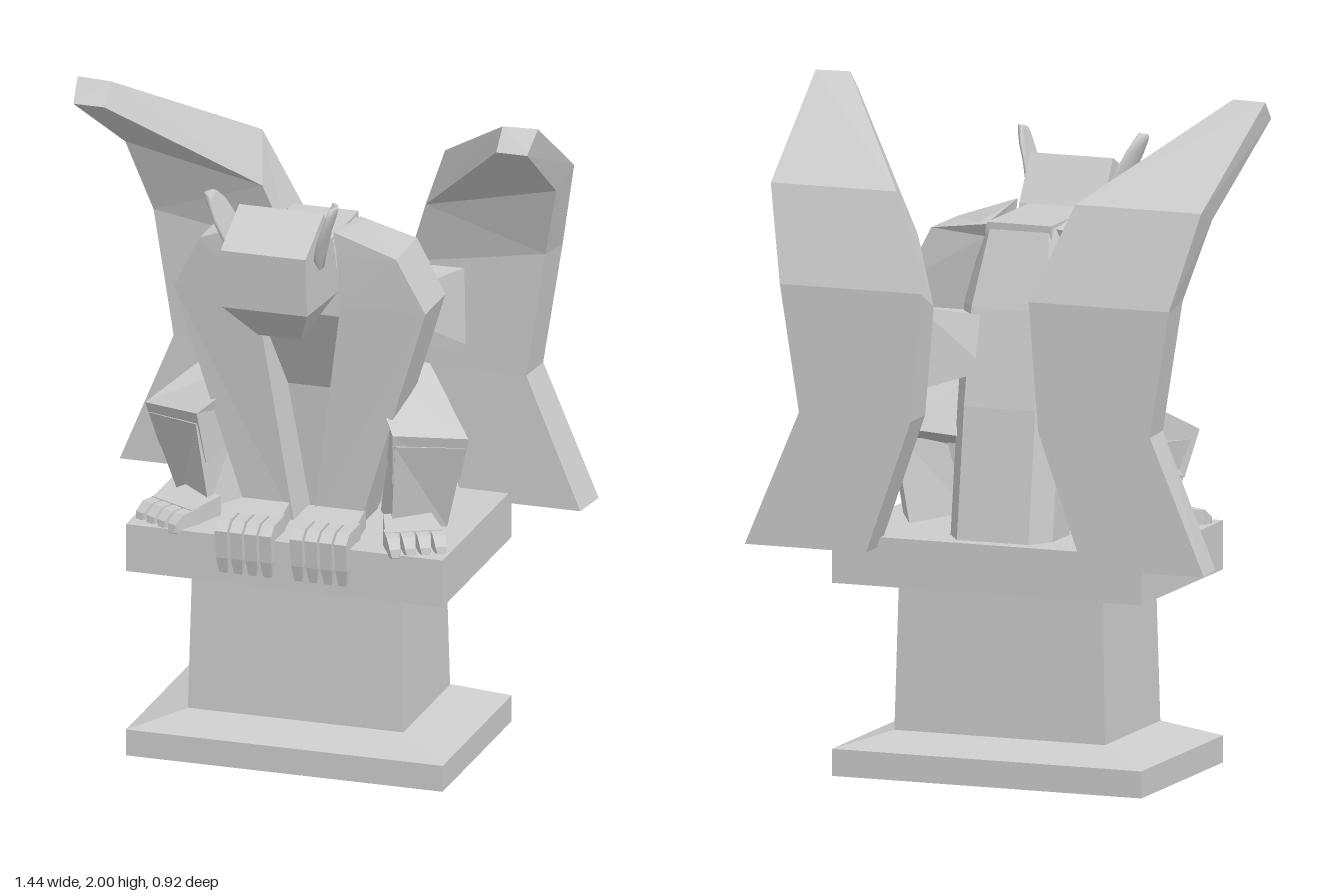
import * as THREE from 'three';
import { mergeVertices } from 'three/addons/utils/BufferGeometryUtils.js';

const flat = new THREE.MeshStandardMaterial({ color: 0xcccccc, flatShading: true });
const smoothMat = new THREE.MeshStandardMaterial({ color: 0xcccccc });

// Closed solid through rings of [x, y, z] points; side -1 mirrors it in x
function loft(name, rings, side = 1, smooth = false) {
  const tris = [];
  const n = rings[0].length;
  for (let r = 0; r < rings.length - 1; r++) {
    for (let i = 0; i < n; i++) {
      const j = (i + 1) % n;
      const a = rings[r][i], b = rings[r][j], c = rings[r + 1][j], d = rings[r + 1][i];
      tris.push([a, b, c], [a, c, d]);
    }
  }
  const first = rings[0], last = rings[rings.length - 1];
  for (let i = 1; i < n - 1; i++) {
    tris.push([first[0], first[i + 1], first[i]], [last[0], last[i], last[i + 1]]);
  }
  // Turn all faces outward, judged by the signed volume
  const pts = tris.map((t) => t.map((p) => new THREE.Vector3(p[0] * side, p[1], p[2])));
  let volume = 0;
  for (const [a, b, c] of pts) volume += a.dot(b.clone().cross(c));
  if (volume < 0) pts.forEach((t) => t.reverse());
  let geo = new THREE.BufferGeometry().setFromPoints(pts.flat());
  if (smooth) geo = mergeVertices(geo);
  geo.computeVertexNormals();
  const mesh = new THREE.Mesh(geo, smooth ? smoothMat : flat);
  mesh.name = name;
  return mesh;
}

// Level rectangle
const rect = (y, x0, x1, z0, z1) => [[x0, y, z0], [x1, y, z0], [x1, y, z1], [x0, y, z1]];

// Upright edge ring spanning x0..x1 between two [y, z] points
const span = (x0, x1, [ya, za], [yb, zb]) => [[x0, ya, za], [x1, ya, za], [x1, yb, zb], [x0, yb, zb]];

// Level ring with chamfered back corners
const bodyRing = (y, hw, back, front, hb = hw * 0.7) => [
  [-hw * 0.8, y, front], [hw * 0.8, y, front], [hw, y, front - 0.06], [hw, y, back + 0.07],
  [hb, y, back], [-hb, y, back], [-hw, y, back + 0.07], [-hw, y, front - 0.06]];

// Paw with four toes, given in its own frame, then turned and placed
function paw(name, side, at, yaw, toePath) {
  const group = new THREE.Group();
  group.name = name;
  const c = Math.cos(yaw), s = Math.sin(yaw);
  const place = (rings) => rings.map((ring) => ring.map(([x, y, z]) =>
    [at[0] + x * c + z * s, at[1] + y, at[2] - x * s + z * c]));
  group.add(loft('pawBack', place([
    span(-0.07, 0.07, [0.06, 0], [0, 0]),
    span(-0.085, 0.085, [0.05, 0.13], [0, 0.13])]), side));
  for (let i = 0; i < 4; i++) {
    const x = (i - 1.5) * 0.045;
    group.add(loft('toe', place(toePath.map(([top, bottom, w]) => span(x - w, x + w, top, bottom))), side));
  }
  return group;
}

export function createModel() {
  const model = new THREE.Group();

  // Pedestal
  model.add(loft('pedestalFoot', [
    rect(0, -0.485, 0.485, -0.365, 0.265), rect(0.08, -0.485, 0.485, -0.365, 0.265),
    rect(0.13, -0.33, 0.33, -0.27, 0.165)]));
  model.add(loft('pedestalColumn', [
    rect(0.13, -0.33, 0.33, -0.265, 0.162), rect(0.57, -0.32, 0.32, -0.255, 0.152)]));
  model.add(loft('pedestalTop', [
    rect(0.57, -0.485, 0.485, -0.365, 0.265), rect(0.715, -0.485, 0.485, -0.365, 0.265)]));

  // Torso, neck and head
  model.add(loft('torso', [
    bodyRing(0.715, 0.16, -0.32, -0.06), bodyRing(1.1, 0.16, -0.265, -0.02),
    bodyRing(1.38, 0.17, -0.19, 0.13), bodyRing(1.61, 0.13, -0.11, 0.13)]));
  model.add(loft('neck', [
    span(-0.1, 0.1, [1.62, -0.115], [1.4, -0.1]), span(-0.1, 0.1, [1.62, 0.23], [1.44, 0.2])]));
  model.add(loft('head', [
    span(-0.13, 0.13, [1.62, 0.205], [1.47, 0.165]).map(([x, y, z]) => [x, y, z]),
    span(-0.13, 0.13, [1.755, 0.29], [1.48, 0.3]),
    span(-0.13, 0.13, [1.67, 0.46], [1.49, 0.445])]));
  const jaw = (hw, y, z) => [[-hw, y, z], [hw, y, z]];
  model.add(loft('jaw', [
    [...jaw(0.13, 1.47, 0.165), ...jaw(0.13, 1.49, 0.445).reverse()],
    [...jaw(0.065, 1.435, 0.16), ...jaw(0.065, 1.365, 0.31).reverse()]]));

  for (const side of [1, -1]) {
    const pre = side > 0 ? 'left' : 'right';

    // Curved ear: [x, y, z, half depth] stations
    const ear = [[0.125, 1.6, 0.31, 0.035], [0.14, 1.66, 0.325, 0.06], [0.155, 1.71, 0.345, 0.062],
      [0.175, 1.76, 0.362, 0.055], [0.19, 1.8, 0.378, 0.035], [0.194, 1.815, 0.382, 0.018]];
    model.add(loft(pre + 'Ear', ear.map(([x, y, z, d]) => Array.from({ length: 12 }, (_, i) => {
      const a = i * Math.PI / 6;
      const k = Math.sin(a);
      return [x + 0.012 * Math.cos(a) - 0.01 * k * k, y - 0.3 * d * k, z + d * k];
    })), side, true));

    // Front leg with broad shoulder
    model.add(loft(pre + 'FrontLeg', [
      [[0.03, 0.72, 0.09], [0.17, 0.72, 0.09], [0.17, 0.72, -0.08], [0.03, 0.72, -0.08]],
      [[0.13, 1.42, 0.14], [0.385, 1.415, 0.125], [0.385, 1.415, -0.06], [0.13, 1.42, -0.08]],
      [[0.12, 1.57, 0.145], [0.3, 1.58, 0.14], [0.3, 1.58, -0.055], [0.12, 1.57, -0.08]],
      [[0.11, 1.645, 0.145], [0.14, 1.635, 0.145], [0.14, 1.61, -0.08], [0.11, 1.61, -0.1]],
    ], side));
    model.add(paw(pre + 'FrontPaw', side, [0.115, 0.715, 0.07], 0, [
      [[0.05, 0.1], [0, 0.1], 0.019], [[0.05, 0.2], [0.003, 0.19], 0.019],
      [[0.025, 0.232], [-0.02, 0.195], 0.019], [[-0.06, 0.222], [-0.06, 0.196], 0.018],
      [[-0.11, 0.208], [-0.105, 0.194], 0.012]]));

    // Hind leg: thigh, shin and turned-out paw
    model.add(loft(pre + 'Thigh', [
      [[0.12, 1.18, -0.1], [0.31, 1.165, -0.14], [0.33, 1.02, -0.25], [0.12, 1.0, -0.22]],
      [[0.3, 1.045, 0.17], [0.495, 1.02, 0.06], [0.46, 0.88, 0.03], [0.285, 0.88, 0.13]]], side));
    model.add(loft(pre + 'Shin', [
      [[0.41, 0.72, 0.0], [0.28, 0.74, 0.12], [0.2, 0.74, -0.02], [0.33, 0.72, -0.15]],
      [[0.485, 0.99, 0.06], [0.305, 1.01, 0.165], [0.23, 0.99, -0.03], [0.38, 1.0, -0.15]]], side));
    model.add(paw(pre + 'HindPaw', side, [0.31, 0.715, 0.07], 0.49, [
      [[0.05, 0.1], [0, 0.1], 0.019], [[0.045, 0.165], [0.002, 0.16], 0.019],
      [[0.02, 0.195], [-0.006, 0.185], 0.016], [[-0.005, 0.2], [-0.01, 0.192], 0.01]]));

    // Wing: a thick plate bent forward at the tip, joined by a short root
    model.add(loft(pre + 'Wing', [
      [[0.34, 0.685, -0.46], [0.72, 0.685, -0.46], [0.705, 0.685, -0.335], [0.345, 0.685, -0.335]],
      [[0.2, 1.08, -0.46], [0.55, 1.085, -0.46], [0.54, 1.085, -0.335], [0.205, 1.08, -0.335]],
      [[0.17, 1.46, -0.46], [0.61, 1.46, -0.46], [0.6, 1.47, -0.33], [0.18, 1.4, -0.33]],
      [[0.28, 1.74, -0.37], [0.675, 1.74, -0.37], [0.66, 1.7, -0.25], [0.25, 1.6, -0.28]],
      [[0.6, 2.0, 0.06], [0.705, 2.0, 0.05], [0.695, 1.94, 0.12], [0.6, 1.94, 0.12]]], side));
    model.add(loft(pre + 'WingRoot', [
      [[0.06, 1.35, -0.16], [0.15, 1.35, -0.08], [0.15, 1.2, -0.12], [0.06, 1.2, -0.2]],
      [[0.22, 1.4, -0.35], [0.36, 1.4, -0.34], [0.36, 1.155, -0.34], [0.22, 1.155, -0.35]]], side));
  }
  return model;
}
